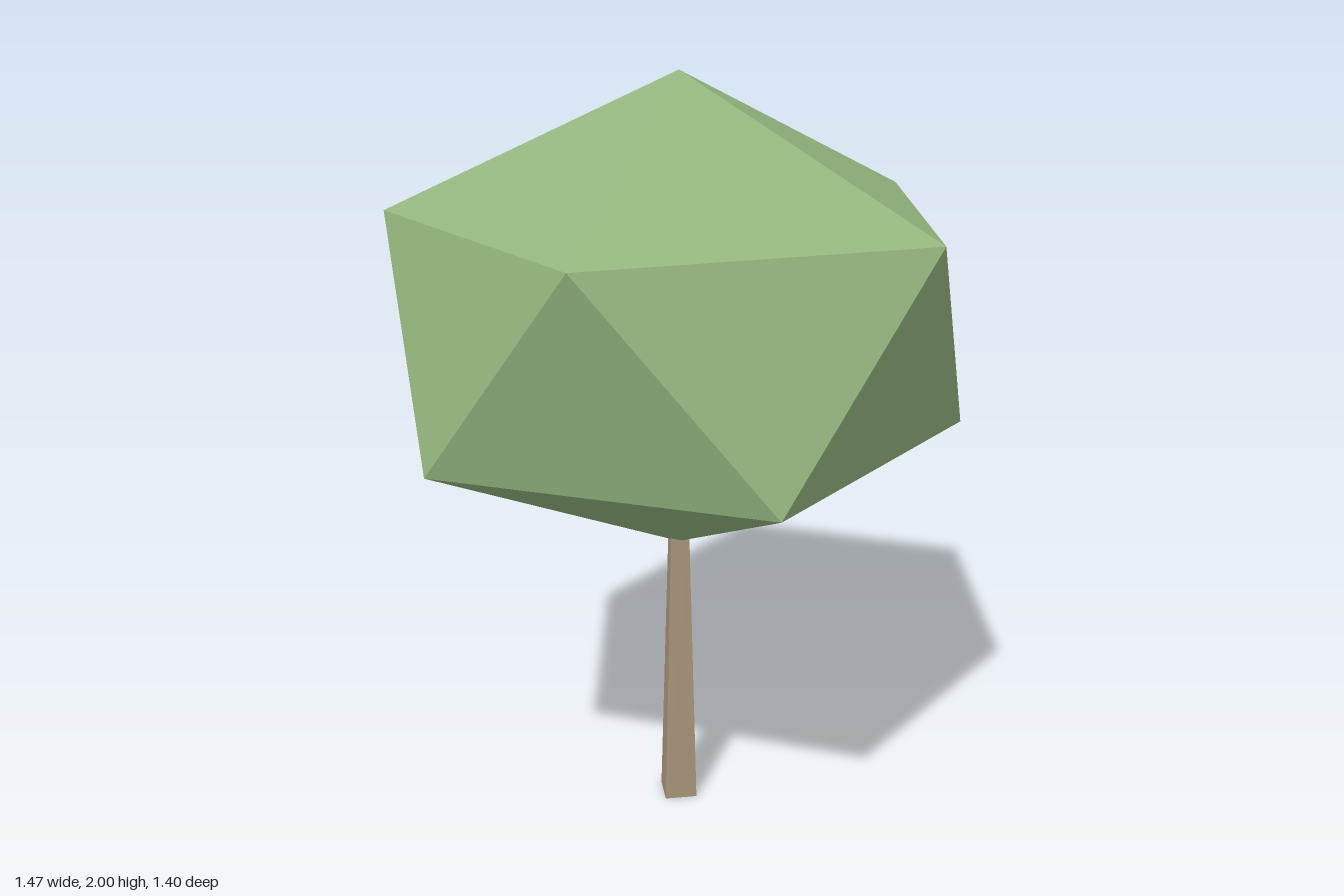
import * as THREE from 'three';

const foliageGreen = new THREE.MeshStandardMaterial({ color: 0x94b57e, flatShading: true });
foliageGreen.name = 'foliage green';
const barkBrown = new THREE.MeshStandardMaterial({ color: 0xa8947a, flatShading: true });
barkBrown.name = 'bark brown';

// Squashed icosahedron: two apexes and two staggered rings of five points
function crownGeometry(radius, halfHeight) {
  const ringRadius = radius * 2 / Math.sqrt(5);
  const ringY = halfHeight / Math.sqrt(5);
  const ringPoint = (step, y) => {
    const a = step * Math.PI / 5;
    return new THREE.Vector3(Math.cos(a) * ringRadius, y, -Math.sin(a) * ringRadius);
  };
  const top = new THREE.Vector3(0, halfHeight, 0);
  const bottom = new THREE.Vector3(0, -halfHeight, 0);
  const points = [];
  for (let i = 0; i < 5; i++) {
    const u0 = ringPoint(2 * i, ringY), u1 = ringPoint(2 * i + 2, ringY);
    const l0 = ringPoint(2 * i + 1, -ringY), l1 = ringPoint(2 * i + 3, -ringY);
    points.push(top, u0, u1, u0, l0, u1, u1, l0, l1, bottom, l1, l0);
  }
  const geometry = new THREE.BufferGeometry().setFromPoints(points);
  geometry.computeVertexNormals();
  return geometry;
}

export function createModel() {
  const tree = new THREE.Group();
  tree.name = 'tree';

  // Tapered four-sided trunk, corners on the axes
  const trunkHeight = 0.79;
  const trunk = new THREE.Mesh(new THREE.CylinderGeometry(0.035, 0.062, trunkHeight, 4), barkBrown);
  trunk.name = 'trunk';
  trunk.position.y = trunkHeight / 2;
  tree.add(trunk);

  // Faceted crown
  const crown = new THREE.Mesh(crownGeometry(0.82, 0.615), foliageGreen);
  crown.name = 'crown';
  crown.position.y = 1.385;
  tree.add(crown);

  return tree;
}
